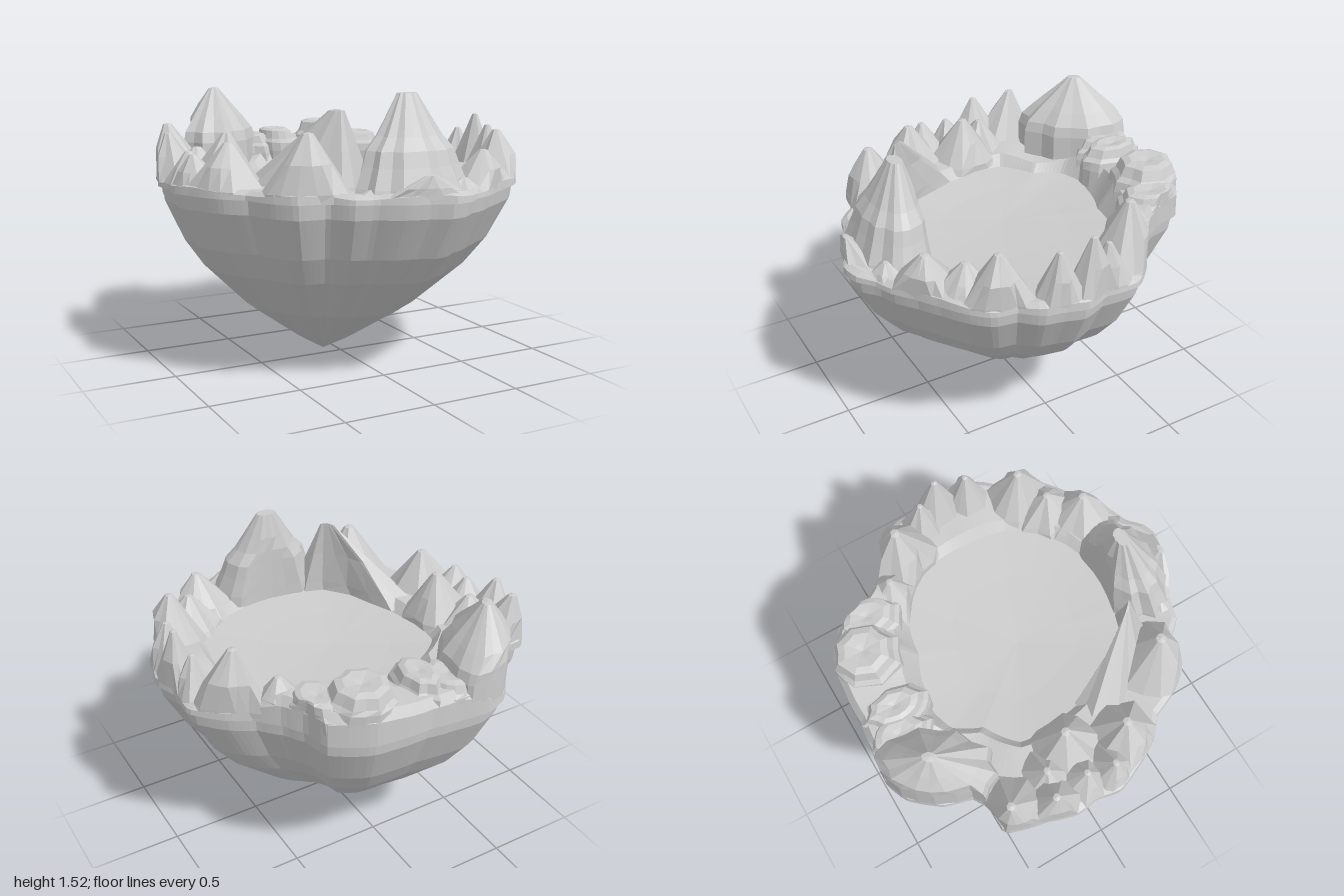
import * as THREE from 'three';

const N = 180;
const TIP = [-0.07, -0.09];

// Outlines as x, z pairs seen from above
const RIM = [1, .08, .96, .2, .94, .3, .85, .4, .83, .52, .76, .6, .62, .7, .5, .78, .4, .86, .3, .9, .22, .97, .13, .995, .03, .95,
  -.1, .92, -.24, .84, -.35, .81, -.44, .7, -.6, .68, -.68, .58, -.75, .42, -.86, .32, -.95, .15, -1, .03, -.97, -.1, -.99, -.22,
  -.94, -.38, -.88, -.6, -.72, -.6, -.64, -.65, -.6, -.8, -.47, -.95, -.35, -.995, -.18, -.98, -.02, -.96, .17, -.955, .3, -.94,
  .4, -.89, .5, -.82, .53, -.68, .6, -.57, .7, -.46, .82, -.39, .96, -.24, .95, -.05];
const LAKE = [.64, .05, .6, .28, .5, .42, .35, .53, .1, .58, -.1, .55, -.25, .52, -.42, .22, -.49, 0, -.5, -.28, -.33, -.4,
  -.25, -.55, -.13, -.59, 0, -.57, .2, -.5, .45, -.43, .6, -.28, .64, -.1];

// Turns an outline into radius as a function of angle
function radiusOf(points) {
  const list = [];
  for (let i = 0; i < points.length; i += 2) {
    const a = Math.atan2(points[i + 1], points[i]), r = Math.hypot(points[i], points[i + 1]);
    for (const k of [-1, 0, 1]) list.push([a + k * Math.PI * 2, r]);
  }
  list.sort((p, q) => p[0] - q[0]);
  return (a) => {
    const i = list.findIndex((p) => p[0] > a), [a0, r0] = list[i - 1], [a1, r1] = list[i];
    return r0 + (r1 - r0) * (a - a0) / (a1 - a0);
  };
}
const rimR = radiusOf(RIM), lakeR = radiusOf(LAKE);

// Skins a stack of closed rings, ordered from the bottom up and then inward
function skin(name, rings) {
  const n = rings[0].length, pos = rings.flat(2), idx = [];
  for (let i = 0; i < rings.length - 1; i++) {
    for (let j = 0; j < n; j++) {
      const a = i * n + j, b = i * n + (j + 1) % n;
      idx.push(a, a + n, b, b, a + n, b + n);
    }
  }
  const g = new THREE.BufferGeometry();
  g.setAttribute('position', new THREE.Float32BufferAttribute(pos, 3));
  g.setIndex(idx);
  g.computeVertexNormals();
  const mesh = new THREE.Mesh(g, new THREE.MeshStandardMaterial({ color: 0xcccccc, flatShading: true }));
  mesh.name = name;
  return mesh;
}

const ring = (fn) => Array.from({ length: N }, (_, j) => {
  const a = -Math.PI + (j + 0.5) / N * Math.PI * 2;
  return fn(a, Math.cos(a), Math.sin(a));
});

let seed = 7;
const rand = () => (seed = (seed * 16807) % 2147483647) / 2147483647;

// Side profiles: [width, height] from base to tip
const CONE = [[1, 0], [.9, .13], [.51, .55], [.11, .98], [0, 1]];
const BULGE = [[1, 0], [1, .38], [.94, .5], [.72, .64], [.42, .81], [.12, .99], [0, 1]];
const SHOULDER = [[1, 0], [.95, .12], [.82, .32], [.74, .47], [.56, .6], [.41, .75], [.17, 1], [0, 1]];
const MESA = [[1, 0], [1, .45], [.95, .66], [.82, .75], [.7, .95], [.5, 1], [.22, .97], [0, .93]];

// A ridged peak leaning from its base centre to its tip, kept between lake and rim
function peak(name, [tx, tz, top, bx, bz, rx, rz, rot = 0], profile, sides, rough) {
  const ridge = Array.from({ length: sides }, (_, k) => 1 + (k % 2 ? -0.4 : 0.4) * rough + (rand() - 0.5) * rough);
  const foot = 1.0;
  const rings = profile.map(([s, h]) => ridge.map((w, k) => {
    const a = k / sides * Math.PI * 2;
    const u = Math.cos(a) * rx * s * w, v = Math.sin(a) * rz * s * w;
    const x = bx + (tx - bx) * h + u * Math.cos(rot) - v * Math.sin(rot);
    const z = bz + (tz - bz) * h + u * Math.sin(rot) + v * Math.cos(rot);
    const t = Math.atan2(z, x), r = Math.hypot(x, z);
    const c = THREE.MathUtils.clamp(r, lakeR(t) - 0.01, rimR(t) - 0.004) / r;
    return [x * c, foot + (top - foot) * h, z * c];
  }));
  return skin(name, rings);
}

export function createModel() {
  const island = new THREE.Group();
  island.name = 'floatingIsland';

  // Ribbed underside tapering to a point
  const hull = [[0, 0], [.18, .1], [.5, .31], [.765, .55], [.88, .7], [.95, .84], [.99, .92], [1, 1]];
  island.add(skin('underside', hull.map(([s, y]) => ring((a, c, z) => {
    const r = rimR(a) * 0.975 * s;
    return [TIP[0] * (1 - s) + c * r, y, TIP[1] * (1 - s) + z * r];
  }))));

  // Overhanging lip and uneven shelf around the basin, rising to a terrace at the back
  const terrace = (a) => THREE.MathUtils.smoothstep(Math.cos(a + 1.25), 0.72, 0.9);
  const shelfY = (a) => 1.045 + 0.01 * Math.sin(a * 9) + 0.09 * terrace(a);
  const shelf = [
    [(a) => rimR(a) * 0.97, () => 1],
    [(a) => rimR(a), () => 1],
    [(a) => rimR(a) * 0.995, (a) => shelfY(a) - 0.01],
    [(a) => rimR(a) * 0.96, (a) => shelfY(a) + 0.01 + 0.03 * terrace(a)],
    [(a) => (rimR(a) + lakeR(a)) / 2, (a) => shelfY(a) + 0.005 + 0.03 * terrace(a)],
    [(a) => lakeR(a) + 0.05 + 0.04 * terrace(a), shelfY],
    [(a) => lakeR(a), () => 0.985],
  ];
  island.add(skin('shelf', shelf.map(([r, y]) => ring((a, c, s) => [c * r(a), y(a), s * r(a)]))));

  // Shallow basin floor
  island.add(skin('basinFloor', [[1.01, 0.99], [0.6, 0.97], [0, 0.955]].map(([k, y]) =>
    ring((a, c, s) => [c * lakeR(a) * k, y, s * lakeR(a) * k]))));

  // Large mountains: tip x, z, height, base x, z, radii, turn
  island.add(
    peak('frontMountain', [.04, .64, 1.52, .04, .71, .32, .21], SHOULDER, 24, .1),
    peak('frontRidge', [-.27, .48, 1.44, -.39, .36, .35, .16, -2.25], CONE, 16, .14),
    peak('backMountain', [-.46, -.76, 1.49, -.44, -.75, .32, .21, -.95], BULGE, 20, .1),
  );

  // Flat-topped rocks along the back
  [
    [.27, -.77, 1.27, .29, -.75, .19, .19],
    [-.06, -.77, 1.23, -.05, -.75, .12, .19],
    [.46, -.66, 1.2, .45, -.67, .14, .19],
    [-.2, -.82, 1.2, -.18, -.8, .14, .18],
  ].forEach((p) => island.add(peak('mesa', p, MESA, 16, .1)));

  // Pointed rocks around the rest of the rim
  [
    [-.48, .57, 1.34, -.49, .56, .25, .23],
    [-.64, -.1, 1.29, -.66, -.1, .2, .21],
    [-.83, -.53, 1.31, -.8, -.47, .2, .2],
    [-.9, -.31, 1.28, -.87, -.31, .17, .17],
    [-.75, -.27, 1.2, -.75, -.27, .2, .16],
    [-.75, .2, 1.27, -.76, .2, .22, .2],
    [-.89, .05, 1.2, -.86, .05, .17, .15],
    [-.86, -.1, 1.2, -.84, -.12, .17, .14],
    [.73, -.32, 1.36, .74, -.31, .25, .22],
    [.56, -.46, 1.22, .56, -.47, .19, .17],
    [.9, .01, 1.34, .9, 0, .13, .15],
    [.87, .18, 1.29, .88, .18, .14, .14],
    [.86, -.11, 1.25, .86, -.12, .13, .13],
    [.74, .44, 1.29, .75, .44, .19, .2],
    [.59, .54, 1.19, .59, .55, .18, .18],
    [.47, .7, 1.22, .46, .69, .2, .2],
    [.27, .82, 1.1, .27, .81, .16, .12],
    [.01, .92, 1.14, .02, .88, .26, .13],
    [-.22, .77, 1.07, -.22, .77, .16, .1],
  ].forEach((p) => island.add(peak('rimRock', p, CONE, 14, .14)));

  return island;
}
